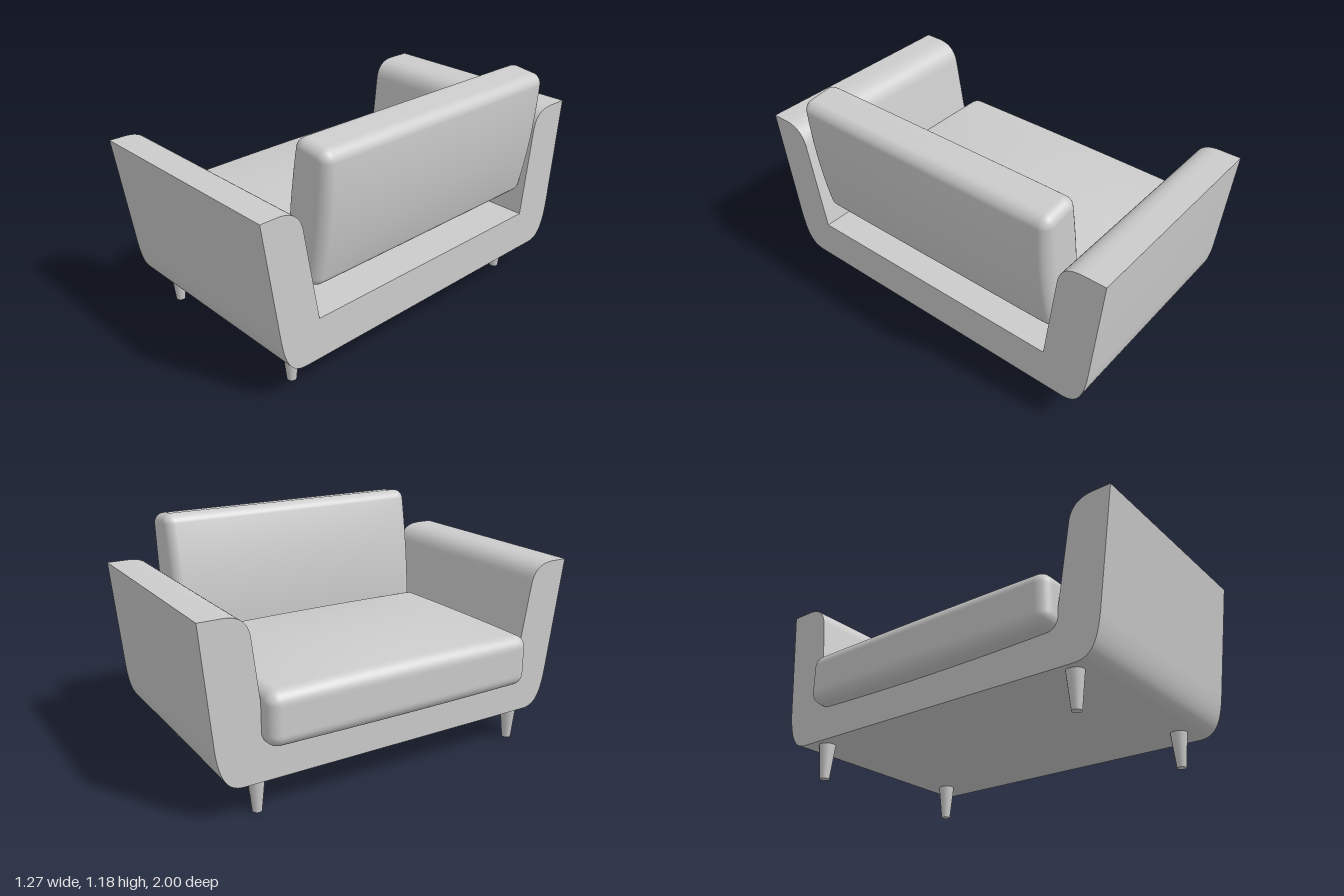
import * as THREE from 'three';
import { mergeVertices } from 'three/addons/utils/BufferGeometryUtils.js';

const grey = new THREE.MeshStandardMaterial({ color: 0xcccccc });

// Rounded box whose grid is dense in the rounded edges; puff(p, u, v, w) bulges it.
function cushion(name, size, r, puff) {
  const n = 24, k = 5;
  const geo = new THREE.BoxGeometry(2, 2, 2, n, n, n);
  geo.deleteAttribute('uv');
  geo.deleteAttribute('normal');
  const pos = geo.attributes.position;
  const half = size.map((s) => s / 2);
  const remap = (t, h) => {
    const i = Math.abs(t) * n / 2, flat = n / 2 - k;
    const d = i <= flat ? (i / flat) * (h - r) : h - r + r * Math.tan((i - flat) / k * Math.PI / 4);
    return Math.sign(t) * d;
  };
  const p = new THREE.Vector3(), core = new THREE.Vector3();
  for (let i = 0; i < pos.count; i++) {
    p.fromBufferAttribute(pos, i);
    p.set(remap(p.x, half[0]), remap(p.y, half[1]), remap(p.z, half[2]));
    core.set(...p.toArray().map((c, a) => THREE.MathUtils.clamp(c, r - half[a], half[a] - r)));
    p.sub(core).setLength(r).add(core);
    puff(p, p.x / half[0], p.y / half[1], p.z / half[2]);
    pos.setXYZ(i, p.x, p.y, p.z);
  }
  const smooth = mergeVertices(geo, 1e-5);
  smooth.computeVertexNormals();
  const mesh = new THREE.Mesh(smooth, grey);
  mesh.name = name;
  return mesh;
}

// One-piece shell: base and both flared arms as a single profile run along x
function shell() {
  const s = new THREE.Shape();
  s.moveTo(-0.78, 0.175);
  s.lineTo(0.82, 0.175);
  s.bezierCurveTo(0.9, 0.175, 0.935, 0.24, 0.95, 0.38);
  s.lineTo(1, 0.95);
  s.lineTo(0.89, 0.95);
  s.bezierCurveTo(0.82, 0.95, 0.775, 0.92, 0.765, 0.85);
  s.lineTo(0.71, 0.385);
  s.lineTo(-0.705, 0.385);
  s.lineTo(-0.785, 0.85);
  s.bezierCurveTo(-0.8, 0.92, -0.845, 0.95, -0.92, 0.95);
  s.lineTo(-1, 0.95);
  s.lineTo(-0.92, 0.38);
  s.bezierCurveTo(-0.9, 0.24, -0.87, 0.175, -0.78, 0.175);
  const geo = new THREE.ExtrudeGeometry(s, { depth: 1.135, bevelEnabled: false, curveSegments: 14 });
  geo.rotateY(Math.PI / 2);
  geo.translate(-0.555, 0, 0);
  // smooth the rounded runs while keeping the true edges sharp
  const pos = geo.attributes.position, nor = geo.attributes.normal;
  const groups = new Map(), face = [];
  const key = (i) => [pos.getX(i), pos.getY(i), pos.getZ(i)].map((c) => c.toFixed(4)).join();
  for (let i = 0; i < pos.count; i++) {
    face.push(new THREE.Vector3().fromBufferAttribute(nor, i));
    if (!groups.has(key(i))) groups.set(key(i), []);
    groups.get(key(i)).push(i);
  }
  for (const ids of groups.values()) {
    for (const i of ids) {
      const sum = new THREE.Vector3();
      ids.forEach((j) => { if (face[i].dot(face[j]) > 0.85) sum.add(face[j]); });
      sum.normalize();
      nor.setXYZ(i, sum.x, sum.y, sum.z);
    }
  }
  const mesh = new THREE.Mesh(geo, grey);
  mesh.name = 'baseAndArms';
  return mesh;
}

export function createModel() {
  const sofa = new THREE.Group();
  sofa.name = 'armchair';
  sofa.add(shell());

  // Seat cushion, crowned in the middle and overhanging the front
  const seat = cushion('seatCushion', [1.0, 0.26, 1.445], 0.06, (p, u, v, w) => {
    p.y += Math.sign(v) * Math.min(1, Math.abs(v) * 1.5) * 0.045 * (1 - u * u) * (1 - w * w);
  });
  seat.position.set(-0.14, 0.48, -0.008);
  sofa.add(seat);

  // Leaning back cushion, thickest at mid height
  const back = cushion('backCushion', [0.2, 0.67, 1.445], 0.05, (p, u, v, w) => {
    p.x += u * 0.03 * (1 - v * v) * (1 - 0.5 * w ** 8);
  });
  back.position.set(0.487, 0.845, -0.018);
  back.rotation.z = -0.13;
  sofa.add(back);

  // Tapered legs
  const legGeo = new THREE.CylinderGeometry(0.042, 0.023, 0.18, 16);
  for (const x of [-0.485, 0.425]) {
    for (const z of [-0.73, 0.745]) {
      const leg = new THREE.Mesh(legGeo, grey);
      leg.name = x < 0 ? 'frontLeg' : 'rearLeg';
      leg.position.set(x, 0.09, z);
      sofa.add(leg);
    }
  }
  return sofa;
}
